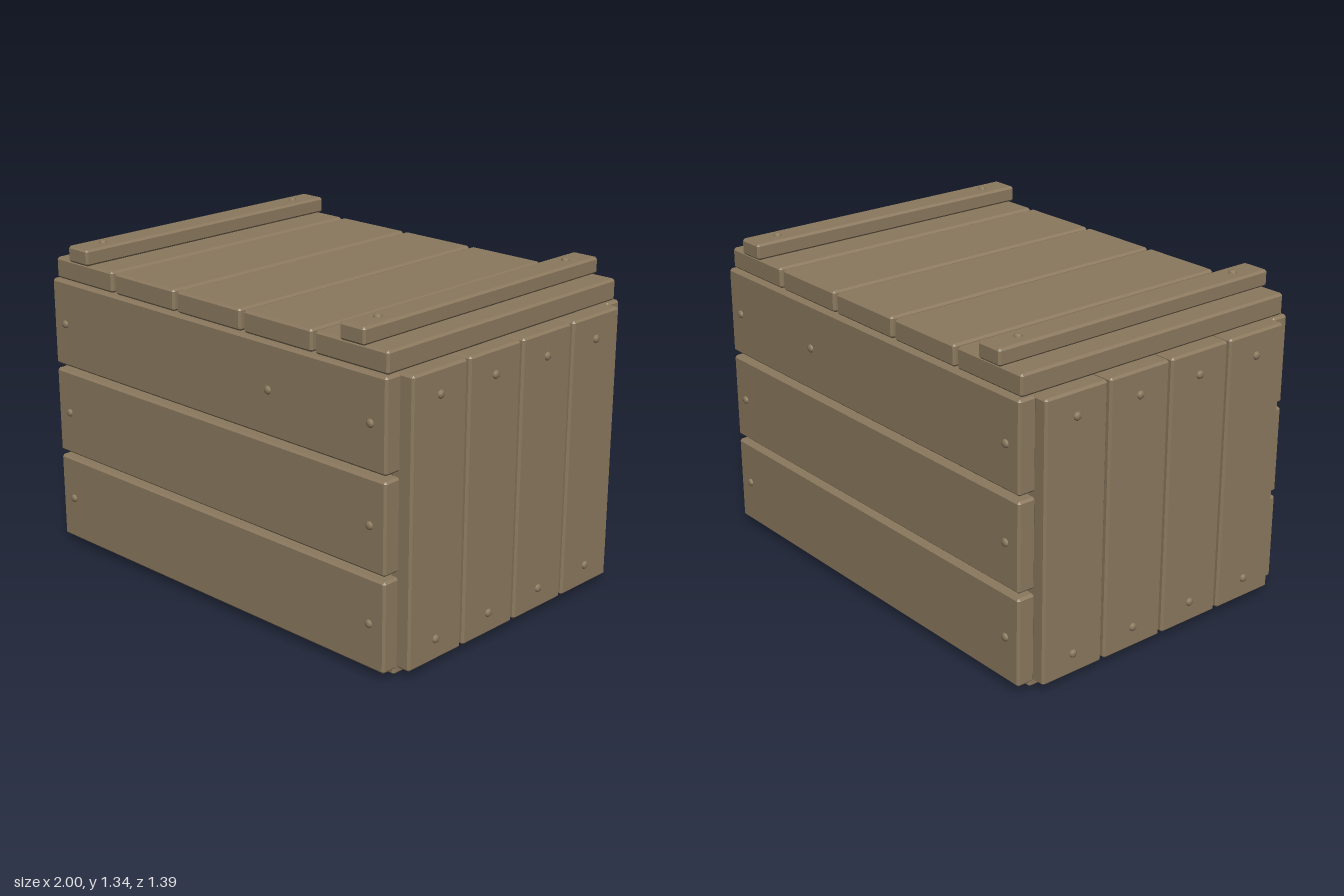
import * as THREE from 'three';
import { ConvexGeometry } from 'three/addons/geometries/ConvexGeometry.js';

const wood = new THREE.MeshStandardMaterial({ color: 0x8b795e });
wood.name = 'weathered wood';

// Box with small chamfers on every edge
function plankGeometry(w, h, d, c = 0.009) {
  const points = [];
  for (const sx of [-1, 1]) for (const sy of [-1, 1]) for (const sz of [-1, 1]) {
    const x = w / 2, y = h / 2, z = d / 2;
    points.push(
      new THREE.Vector3(sx * x, sy * (y - c), sz * (z - c)),
      new THREE.Vector3(sx * (x - c), sy * y, sz * (z - c)),
      new THREE.Vector3(sx * (x - c), sy * (y - c), sz * z));
  }
  return new ConvexGeometry(points);
}

// Shallow domed nail head pointing along +y
const nailGeometry = new THREE.LatheGeometry([
  [0.017, -0.008], [0.017, 0.003], [0.013, 0.008], [0.007, 0.01], [0, 0.011],
].map(([x, y]) => new THREE.Vector2(x, y)), 12);

export function createModel() {
  const crate = new THREE.Group();
  crate.name = 'crate';

  const section = (name) => {
    const group = new THREE.Group();
    group.name = name;
    crate.add(group);
    return group;
  };
  const plank = (parent, name, geometry, x, y, z) => {
    const mesh = new THREE.Mesh(geometry, wood);
    mesh.name = name;
    mesh.position.set(x, y, z);
    parent.add(mesh);
  };
  const up = new THREE.Vector3(0, 1, 0);
  const nail = (parent, x, y, z, nx, ny, nz) => {
    const mesh = new THREE.Mesh(nailGeometry, wood);
    mesh.name = 'nailHead';
    mesh.position.set(x, y, z);
    mesh.quaternion.setFromUnitVectors(up, new THREE.Vector3(nx, ny, nz));
    parent.add(mesh);
  };

  // Floor: four planks running front to back
  const floor = section('floor');
  const floorPlank = plankGeometry(0.455, 0.082, 1.24);
  for (let i = 0; i < 4; i++) plank(floor, 'floorPlank', floorPlank, (i - 1.5) * 0.468, 0.041, 0);

  // Front and back: three horizontal planks each
  const longPlank = plankGeometry(1.875, 0.368, 0.08);
  for (const s of [1, -1]) {
    const wall = section(s > 0 ? 'frontWall' : 'backWall');
    for (const y of [0.212, 0.601, 0.99]) {
      plank(wall, 'horizontalPlank', longPlank, -0.002, y, s * 0.643);
      for (const x of [-0.865, 0.86]) nail(wall, x, y, s * 0.683, 0, 0, s);
    }
    nail(wall, 0.342, 0.99, s * 0.683, 0, 0, s);
  }

  // Sides: four vertical planks each
  const sidePlank = plankGeometry(0.1, 1.146, 0.293);
  for (const s of [1, -1]) {
    const wall = section(s > 0 ? 'leftWall' : 'rightWall');
    for (let i = 0; i < 4; i++) {
      const z = (i - 1.5) * 0.306;
      plank(wall, 'verticalPlank', sidePlank, s * 0.94, 0.6, z);
      for (const y of [0.115, 1.074]) nail(wall, s * 0.99, y, z, s, 0, 0);
    }
  }

  // Lid: five planks joined by two battens
  const lid = section('lid');
  const lidPlank = plankGeometry(0.358, 0.088, 1.33);
  for (let i = 0; i < 5; i++) plank(lid, 'lidPlank', lidPlank, (i - 2) * 0.374 - 0.002, 1.219, 0);
  const batten = plankGeometry(0.122, 0.068, 1.36);
  for (const s of [1, -1]) {
    plank(lid, 'batten', batten, s * 0.766 - 0.002, 1.296, 0);
    for (const z of [-0.545, 0.545]) nail(lid, s * 0.766 - 0.002, 1.33, z, 0, 1, 0);
  }
  return crate;
}
